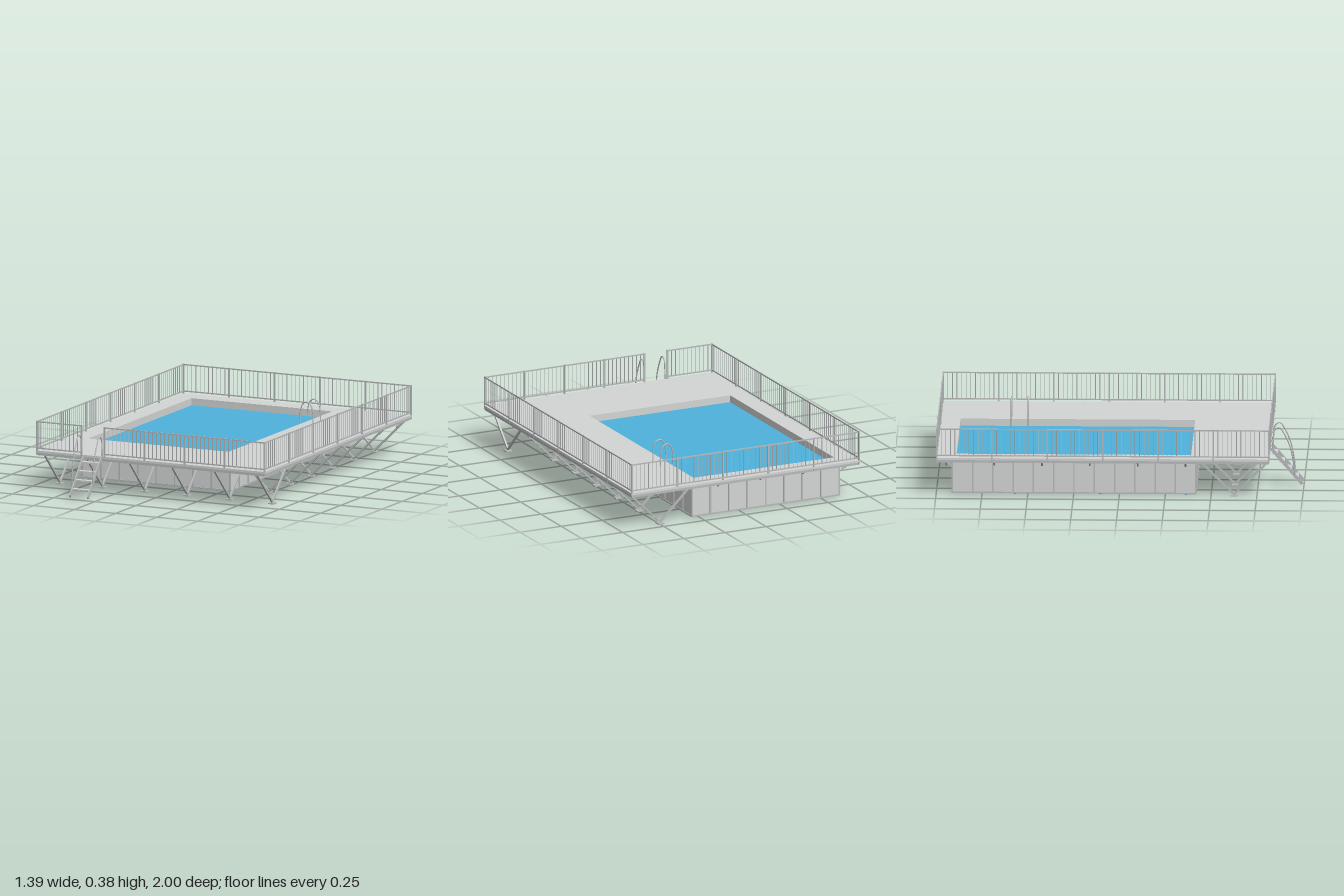
import * as THREE from 'three';
import { mergeGeometries } from 'three/addons/utils/BufferGeometryUtils.js';

const mat = (name, color) => Object.assign(new THREE.MeshStandardMaterial({ color }), { name });
const V = (x, y, z) => new THREE.Vector3(x, y, z);

// Box given by its min and max corners
function span(x0, x1, y0, y1, z0, z1) {
  return new THREE.BoxGeometry(x1 - x0, y1 - y0, z1 - z0)
    .translate((x0 + x1) / 2, (y0 + y1) / 2, (z0 + z1) / 2);
}

// Rectangular bar from a to b
function bar(a, b, w, h = w) {
  const g = new THREE.BoxGeometry(w, h, a.distanceTo(b));
  const mid = a.clone().add(b).multiplyScalar(0.5);
  return g.applyMatrix4(new THREE.Matrix4().lookAt(b, a, V(0, 1, 0))).translate(mid.x, mid.y, mid.z);
}

const tube = pts => new THREE.TubeGeometry(new THREE.CatmullRomCurve3(pts), 28, 0.0036, 8);

function rectPath(path, x0, x1, z0, z1) {
  path.moveTo(x0, z0);
  path.lineTo(x1, z0);
  path.lineTo(x1, z1);
  path.lineTo(x0, z1);
  path.closePath();
  return path;
}

// Rectangular slab with a rectangular opening, hanging down from y = top
function frame(outer, inner, top, depth) {
  const shape = rectPath(new THREE.Shape(), ...outer);
  shape.holes.push(rectPath(new THREE.Path(), ...inner));
  return new THREE.ExtrudeGeometry(shape, { depth, bevelEnabled: false })
    .rotateX(Math.PI / 2).translate(0, top, 0);
}

export function createModel() {
  const group = new THREE.Group();
  const M = {
    deck: mat('deckGrey', 0xd3d5d4),
    wall: mat('wallGrey', 0xd3d6d4),
    steel: mat('steelGrey', 0xb8babb),
    water: mat('waterBlue', 0x50b2dd),
    floor: mat('floorBlue', 0x246db0),
  };
  const add = (name, parts, material) => {
    const mesh = new THREE.Mesh(mergeGeometries([].concat(parts).map(g => g.index ? g.toNonIndexed() : g)), material);
    mesh.name = name;
    group.add(mesh);
  };

  const X = 0.695, ZB = -1, ZF = 0.82, TOP = 0.215, LOW = 0.19;
  const hole = [-0.59, 0.264, -0.89, 0.39];
  const tank = [-0.61, 0.285, -0.912, 0.415];
  const [tx0, tx1, tz0, tz1] = tank;

  // Deck, rim, basin and water
  add('deck', frame([-X, X, ZB, ZF], hole, TOP, 0.012), M.deck);
  add('deckRim', frame([-X + 0.002, X - 0.002, ZB + 0.002, ZF - 0.002],
    [-X + 0.014, X - 0.014, ZB + 0.014, ZF - 0.014], TOP - 0.012, 0.014), M.steel);
  add('poolWalls', frame(tank, hole, TOP - 0.012, 0.197), M.wall);
  add('poolFloor', span(tx0, tx1, 0, 0.006, tz0, tz1), M.floor);
  add('water', span(hole[0], hole[1], 0.168, 0.176, hole[2], hole[3]), M.water);

  // Wall ribs and base rails
  const ribs = [];
  for (let i = 0; i <= 8; i++) {
    const x = tx0 + (tx1 - tx0) * i / 8;
    for (const z of [tz0, tz1]) ribs.push(span(x - 0.004, x + 0.004, 0.001, 0.2, z - 0.004, z + 0.004));
  }
  for (let i = 1; i < 12; i++) {
    const z = tz0 + (tz1 - tz0) * i / 12;
    for (const x of [tx0, tx1]) ribs.push(span(x - 0.004, x + 0.004, 0.001, 0.2, z - 0.004, z + 0.004));
  }
  for (const z of [tz0, tz1]) ribs.push(span(tx0, tx1, 0.001, 0.009, z - 0.004, z + 0.004));
  for (const x of [tx0, tx1]) ribs.push(span(x - 0.004, x + 0.004, 0.001, 0.009, tz0, tz1));
  add('wallRibs', ribs, M.steel);

  // Joists under the deck overhangs
  const joists = [];
  for (let i = 0; i <= 14; i++) {
    const z = -0.97 + 1.76 * i / 14;
    joists.push(span(z < tz1 ? tx1 : 0.3, X - 0.012, LOW, TOP - 0.011, z - 0.014, z + 0.014));
    if (z > tz0 && z < tz1) joists.push(span(-X + 0.012, tx0, LOW, TOP - 0.011, z - 0.014, z + 0.014));
  }
  for (let i = 0; i <= 8; i++) {
    const x = -0.665 + 0.93 * i / 8;
    joists.push(span(x - 0.014, x + 0.014, LOW, TOP - 0.011, tz1, ZF - 0.012));
    joists.push(span(x - 0.014, x + 0.014, LOW, TOP - 0.011, ZB + 0.012, tz0));
  }
  add('joists', joists, M.steel);

  // V-shaped supports on foot plates, and short brackets on the narrow sides
  const legs = [], feet = [], brackets = [];
  for (let i = 0; i < 6; i++) {
    const z = 0.36 - 0.261 * i, x = -0.645 + 0.258 * i;
    legs.push(bar(V(0.495, 0.01, z), V(0.308, 0.193, z), 0.01), bar(V(0.495, 0.01, z), V(0.682, 0.193, z), 0.01));
    legs.push(bar(V(x, 0.01, 0.625), V(x, 0.193, 0.438), 0.01), bar(V(x, 0.01, 0.625), V(x, 0.193, 0.812), 0.01));
    feet.push(span(0.477, 0.513, 0, 0.007, z - 0.018, z + 0.018));
    feet.push(span(x - 0.018, x + 0.018, 0, 0.007, 0.607, 0.643));
    brackets.push(bar(V(tx0, 0.158, z), V(-0.655, 0.194, z), 0.009));
    brackets.push(bar(V(x, 0.158, tz0), V(x, 0.194, -0.957), 0.009));
  }
  add('supportLegs', legs, M.steel);
  add('footPlates', feet, M.steel);
  add('sideBrackets', brackets, M.steel);

  // Railing: posts, balusters and rails along each run
  const posts = [], balusters = [], rails = [];
  const railing = (a, b, panels) => {
    const len = a.distanceTo(b), per = Math.round(len / panels / 0.0255);
    for (let i = 0; i <= panels * per; i++) {
      const p = a.clone().lerp(b, i / (panels * per));
      if (i % per) balusters.push(new THREE.CylinderGeometry(0.0018, 0.0018, 0.145, 6, 1, true).translate(p.x, 0.301, p.z));
      else posts.push(span(p.x - 0.004, p.x + 0.004, LOW + 0.005, 0.38, p.z - 0.004, p.z + 0.004));
    }
    for (const y of [0.228, 0.375]) {
      rails.push(bar(V(a.x, y, a.z), V(b.x, y, b.z), 0.005, 0.007));
    }
  };
  const e = 0.691, zb = -0.996, zf = 0.816;
  railing(V(-e, 0, zf), V(-0.42, 0, zf), 1);
  railing(V(-0.28, 0, zf), V(e, 0, zf), 4);
  railing(V(-e, 0, zb), V(e, 0, zb), 5);
  for (const x of [-e, e]) railing(V(x, 0, zb), V(x, 0, zf), 6);
  add('railingPosts', posts, M.steel);
  add('balusters', balusters, M.steel);
  add('handrails', rails, M.steel);

  // Entry stairs with curved grab rails
  const stringers = [], treads = [], grabs = [];
  for (const s of [-1, 1]) {
    const x = -0.35 + s * 0.054, g = -0.35 + s * 0.063;
    stringers.push(bar(V(x, 0.014, 0.992), V(x, 0.208, 0.825), 0.007, 0.018));
    grabs.push(tube([V(g, 0.065, 0.952), V(g, 0.13, 0.945), V(g, 0.22, 0.927), V(g, 0.29, 0.897),
      V(g, 0.331, 0.868), V(g, 0.318, 0.842), V(g, 0.26, 0.833), V(g, 0.205, 0.828)]));
  }
  for (let i = 0; i < 4; i++) {
    const y = 0.05 + 0.0435 * i, z = 0.958 - 0.038 * i;
    treads.push(span(-0.402, -0.298, y - 0.004, y + 0.004, z - 0.014, z + 0.014));
  }
  add('stairStringers', stringers, M.steel);
  add('stairTreads', treads, M.deck);
  add('stairGrabRails', grabs, M.steel);

  // Pool ladder hoops
  const hoops = [-0.613, -0.521].map(z => tube([V(0.329, 0.212, z), V(0.328, 0.27, z), V(0.317, 0.318, z),
    V(0.29, 0.335, z), V(0.264, 0.318, z), V(0.252, 0.27, z), V(0.25, 0.215, z), V(0.25, 0.1, z)]));
  add('poolLadderHoops', hoops, M.steel);
  const steps = [0.07, 0.11, 0.15].map(y => span(0.238, 0.26, y - 0.003, y + 0.003, -0.613, -0.521));
  add('poolLadderSteps', steps, M.steel);

  return group;
}
